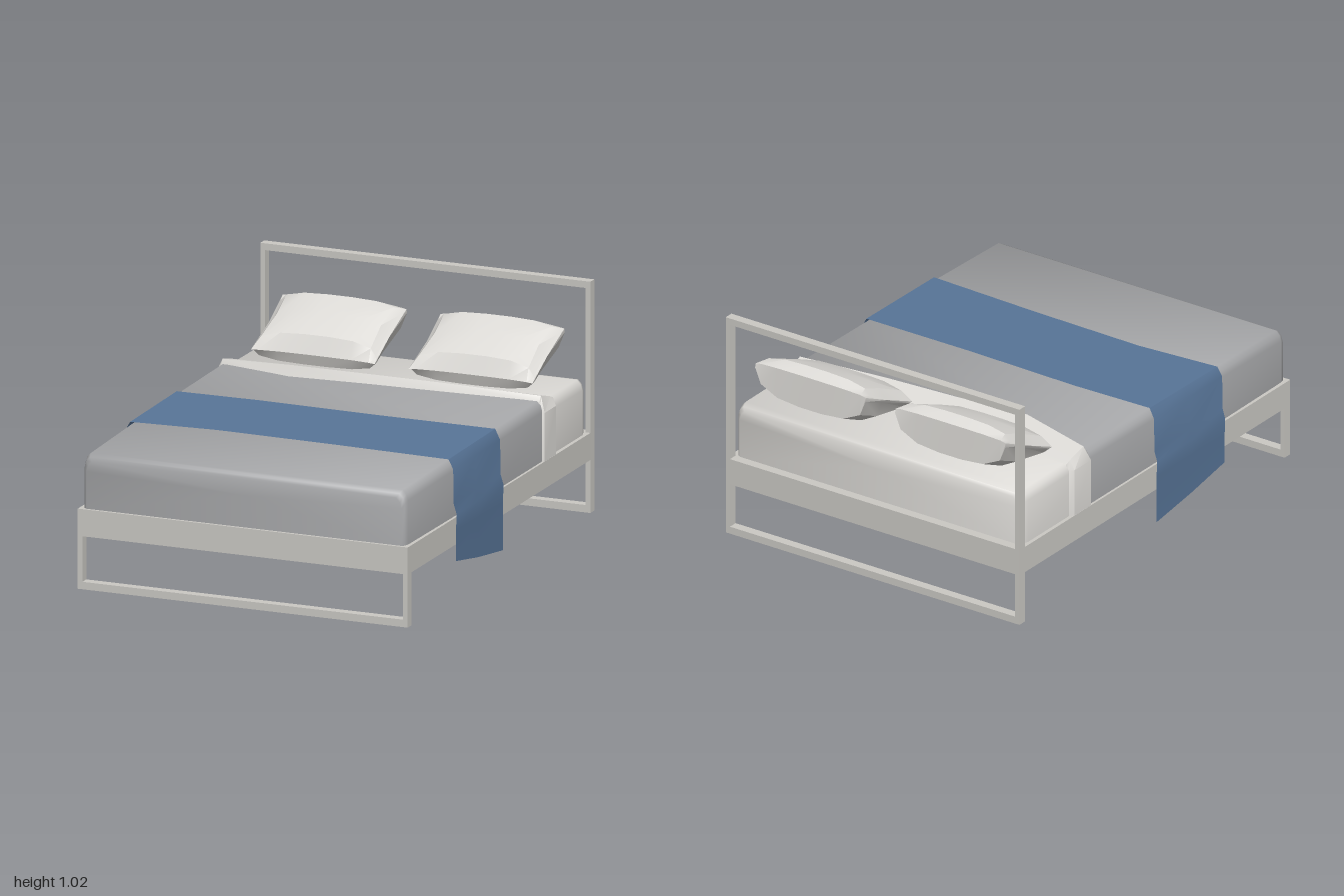
import * as THREE from 'three';
import { toCreasedNormals } from 'three/addons/utils/BufferGeometryUtils.js';

// Skin a row of cross-sections; closed sections are capped at both ends.
function loft(sections, closed, crease) {
  const n = sections[0].length, pos = sections.flat(2), index = [];
  const last = sections.length - 1;
  for (let i = 0; i < last; i++) {
    for (let j = 0; j < (closed ? n : n - 1); j++) {
      const k = (j + 1) % n;
      const a = i * n + j, b = a + n, c = (i + 1) * n + k, d = i * n + k;
      index.push(a, b, c, a, c, d);
    }
  }
  if (closed) {
    for (const i of [0, last]) {
      const centre = pos.length / 3;
      for (let axis = 0; axis < 3; axis++) {
        pos.push(sections[i].reduce((sum, p) => sum + p[axis], 0) / n);
      }
      for (let j = 0; j < n; j++) {
        const a = i * n + j, b = i * n + (j + 1) % n;
        if (i === 0) index.push(centre, a, b);
        else index.push(centre, b, a);
      }
    }
  }
  const geometry = new THREE.BufferGeometry();
  geometry.setAttribute('position', new THREE.Float32BufferAttribute(pos, 3));
  geometry.setIndex(index);
  return toCreasedNormals(geometry, crease);
}

// Bedding block with softened upper edges; rows are [z, half width, top].
function beddingBlock(rows) {
  const base = 0.352;
  return loft(rows.map(([z, w, top]) => [
    [-w, base, z], [-w, top - 0.045, z], [-w + 0.008, top - 0.018, z], [-w + 0.025, top, z],
    [w - 0.025, top, z], [w - 0.008, top - 0.018, z], [w, top - 0.045, z], [w, base, z],
  ]), true, 1.0);
}

// Leaning cushion: a side profile [z, y] squeezed onto its seam at both ends.
function pillowGeometry() {
  const profile = [
    [-0.63, 0.61], [-0.612, 0.66], [-0.645, 0.74], [-0.78, 0.805], [-0.90, 0.85],
    [-0.945, 0.82], [-0.95, 0.67], [-0.80, 0.598],
  ];
  const stations = [
    [-1, 0.12], [-0.9, 0.62], [-0.6, 0.92], [-0.2, 1], [0.2, 1], [0.6, 0.92], [0.9, 0.62], [1, 0.12],
  ];
  return loft(stations.map(([s, fullness]) => profile.map(([z, y]) => {
    const t = THREE.MathUtils.clamp((-0.62 - z) / 0.32, 0, 1);
    const seamY = 0.655 + 0.155 * t;
    const x = s * 0.288 * (0.93 + 0.07 * (2 * t - 1) ** 2);
    const bow = 0.018 * Math.abs(s) ** 3 * (t < 0.2 ? 1 : 0);
    return [x, seamY + (y - seamY) * fullness, z + bow * 0.5];
  })), true, 0.6);
}

export function createModel() {
  const bed = new THREE.Group();
  bed.name = 'bed';

  const paint = (name, color, side = THREE.FrontSide) => {
    const material = new THREE.MeshStandardMaterial({ color, side });
    material.name = name;
    return material;
  };
  const frameColour = paint('warm grey frame', 0xcbc9c4);
  const sheetColour = paint('off white linen', 0xdddbd7, THREE.DoubleSide);
  const duvetColour = paint('grey duvet', 0xa8a9ab);
  const throwColour = paint('blue throw', 0x587598, THREE.DoubleSide);

  const add = (name, geometry, material, x = 0, y = 0, z = 0) => {
    const mesh = new THREE.Mesh(geometry, material);
    mesh.name = name;
    mesh.position.set(x, y, z);
    bed.add(mesh);
    return mesh;
  };

  // Rectangular end frame with one opening per [bottom, top] pair
  const endFrame = (height, openings) => {
    const shape = new THREE.Shape();
    shape.moveTo(-0.767, 0).lineTo(0.767, 0).lineTo(0.767, height).lineTo(-0.767, height).closePath();
    for (const [low, high] of openings) {
      const hole = new THREE.Path();
      hole.moveTo(-0.745, low).lineTo(-0.745, high).lineTo(0.745, high).lineTo(0.745, low).closePath();
      shape.holes.push(hole);
    }
    return new THREE.ExtrudeGeometry(shape, { depth: 0.042, bevelEnabled: false });
  };
  add('headFrame', endFrame(1.025, [[0.033, 0.235], [0.355, 0.995]]), frameColour, 0, 0, -1);
  add('footFrame', endFrame(0.355, [[0.033, 0.235]]), frameColour, 0, 0, 0.958);
  add('platform', new THREE.BoxGeometry(1.534, 0.12, 1.916), frameColour, 0, 0.295, 0);

  // Mattress head end and duvet
  add('mattress', beddingBlock([
    [-0.957, 0.725, 0.575], [-0.945, 0.74, 0.59], [-0.91, 0.75, 0.598], [-0.42, 0.75, 0.602],
  ]), sheetColour);
  add('duvet', beddingBlock([
    [-0.47, 0.756, 0.618], [0, 0.756, 0.612], [0.48, 0.755, 0.606],
    [0.955, 0.75, 0.595], [0.978, 0.744, 0.583], [0.987, 0.732, 0.565],
  ]), duvetColour);

  // Turned-down sheet: each section runs back edge, ridge, front lip
  const foldSide = (side) => [[0.352, 0], [0.57, 0]].map(([y]) => [
    [side * 0.751, y, -0.61], [side * 0.766, y, -0.59], [side * 0.766, y, -0.47], [side * 0.75, y, -0.462],
  ]);
  const foldTop = [
    [-0.74, -0.49, 0.636], [-0.4, -0.425, 0.664], [-0.05, -0.45, 0.657], [0.3, -0.465, 0.652], [0.74, -0.49, 0.638],
  ].map(([x, z, y]) => [
    [x, 0.598, -0.62], [x, 0.61, -0.59], [x, y, z], [x, 0.612, z + 0.018],
  ]);
  add('sheetFold', loft([...foldSide(-1), ...foldTop, ...foldSide(1).reverse()], false, 0.5), sheetColour);

  // Throw draped across the bed and hanging on both sides
  const drape = [
    [0.776, null], [0.776, 0.3], [0.779, 0.375], [0.765, 0.42], [0.763, 0.572],
  ];
  const hang = (side) => drape.map(([x, y]) => [
    [side * x, y ?? 0.085, 0], [side * x, y ?? 0.122, 0.26], [side * x, y ?? 0.167, 0.503],
  ]);
  const across = [
    [-0.74, 0, 0.5], [-0.35, -0.01, 0.47], [0.2, 0.002, 0.48], [0.74, 0, 0.5],
  ].map(([x, back, front]) => [
    [x, 0.619, back], [x, 0.616, 0.25], [x, 0.613, front],
  ]);
  add('throwBlanket', loft([...hang(-1), ...across, ...hang(1).reverse()], false, 0.5), throwColour);

  // Pair of pillows
  const pillow = pillowGeometry();
  add('rightPillow', pillow, sheetColour, -0.37, 0, 0).rotation.y = 0;
  add('leftPillow', pillow, sheetColour, 0.368, 0, 0.01);

  return bed;
}
